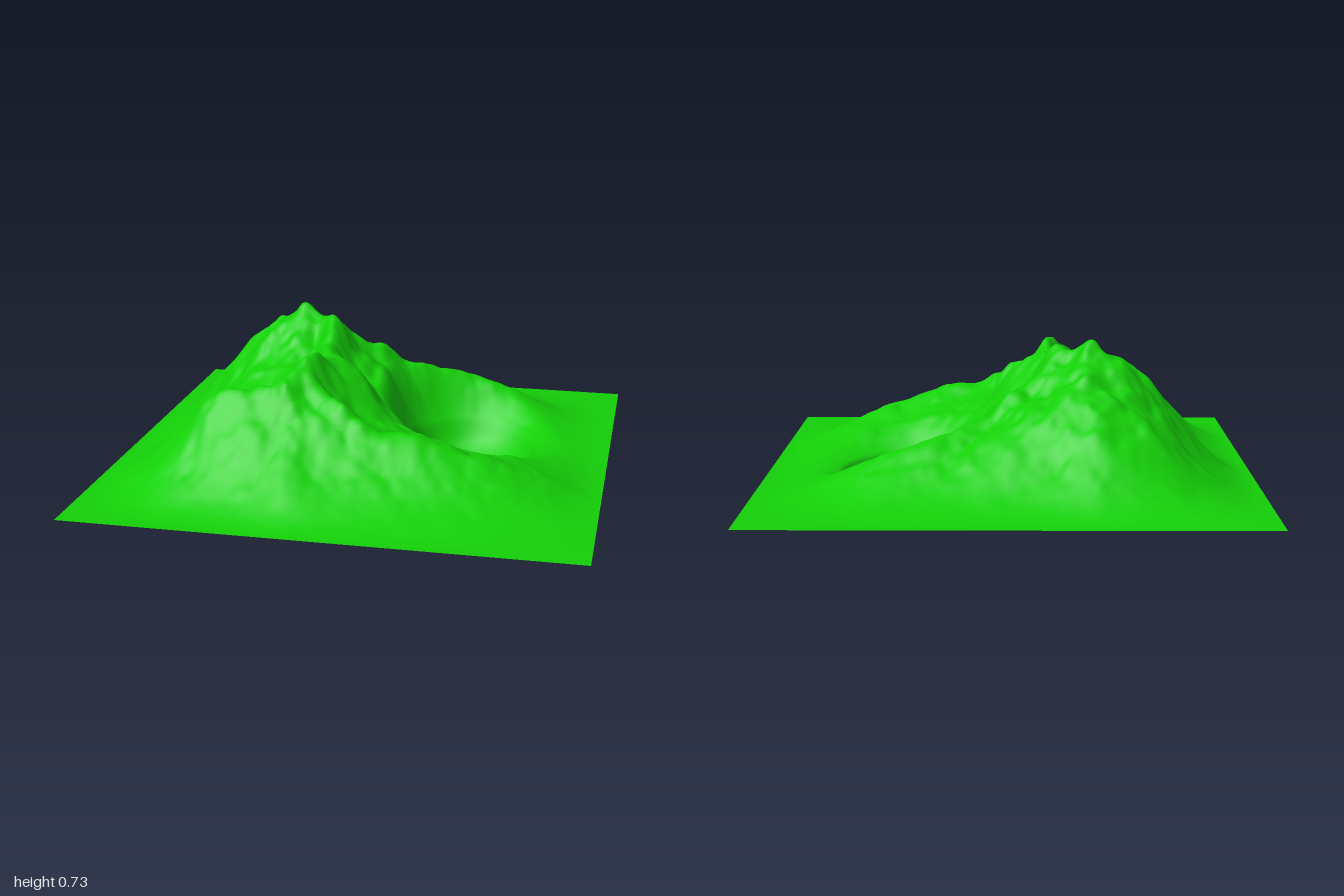
import * as THREE from 'three';

const BASE = 0.16;
const LAKE = { x: 0.43, z: -0.12, r: 0.265 };

// Ridge lines: falloff width and crest points [x, z, height above the base]
const RIDGES = [
  // main crest with a saddle
  { w: 0.3, pts: [[-0.34, -0.23, 0.57], [-0.23, -0.19, 0.52], [-0.17, 0, 0.44], [-0.13, 0.15, 0.48], [-0.17, 0.32, 0.47], [-0.23, 0.48, 0.43]] },
  // left spur
  { w: 0.42, pts: [[-0.34, -0.23, 0.57], [-0.48, -0.19, 0.47], [-0.62, -0.17, 0.46], [-0.9, -0.17, 0.38]] },
  // back spur
  { w: 0.6, pts: [[-0.34, -0.23, 0.57], [-0.3, -0.4, 0.46], [-0.35, -0.6, 0.36], [-0.35, -0.95, 0.32]] },
  // spur behind the basin
  { w: 0.45, pts: [[-0.23, -0.2, 0.51], [-0.08, -0.28, 0.38], [0.08, -0.4, 0.28], [0.3, -0.48, 0.25], [0.52, -0.53, 0.17]] },
  // front left shoulder
  { w: 0.6, pts: [[-0.23, 0.47, 0.41], [-0.5, 0.48, 0.38], [-0.9, 0.5, 0.33]] },
  // front right spur
  { w: 0.4, pts: [[-0.17, 0.4, 0.44], [0.03, 0.49, 0.32], [0.25, 0.52, 0.26], [0.5, 0.5, 0.19], [0.72, 0.4, 0.2], [0.95, 0.35, 0.25]] },
  // front foot
  { w: 0.5, pts: [[-0.23, 0.47, 0.42], [-0.2, 0.62, 0.33], [-0.15, 0.95, 0.3]] },
];

const smooth = THREE.MathUtils.smoothstep;

// Repeatable value noise in -1..1
function hash(i, j) {
  const s = Math.sin(i * 127.1 + j * 311.7) * 43758.5453;
  return (s - Math.floor(s)) * 2 - 1;
}
function noise(x, z) {
  const i = Math.floor(x), j = Math.floor(z);
  const u = smooth(x - i, 0, 1), v = smooth(z - j, 0, 1);
  const { lerp } = THREE.MathUtils;
  return lerp(lerp(hash(i, j), hash(i + 1, j), u), lerp(hash(i, j + 1), hash(i + 1, j + 1), u), v);
}
function fractal(x, z) {
  let sum = 0;
  for (let o = 0, f = 6, a = 0.45; o < 3; o++, f *= 2.1, a *= 0.6) sum += a * noise(x * f + o * 17, z * f - o * 9);
  return sum;
}

// Highest ridge influence at a point
function ridgeHeight(x, z) {
  let best = 0;
  for (const { w, pts } of RIDGES) {
    for (let k = 0; k < pts.length - 1; k++) {
      const [ax, az, ah] = pts[k], [bx, bz, bh] = pts[k + 1];
      const dx = bx - ax, dz = bz - az;
      const t = THREE.MathUtils.clamp(((x - ax) * dx + (z - az) * dz) / (dx * dx + dz * dz), 0, 1);
      const d = Math.hypot(x - ax - t * dx, z - az - t * dz, 0.03) - 0.03;
      best = Math.max(best, (ah + (bh - ah) * t) * Math.exp(-d / w));
    }
  }
  return best;
}

function heightAt(x, z) {
  const warp = 0.025;
  const h = ridgeHeight(x + warp * noise(x * 7 + 40, z * 7), z + warp * noise(x * 7, z * 7 + 60));
  // fade to the flat border
  const edge = smooth(1 - Math.abs(x), 0, 0.55) * smooth(1 - Math.abs(z), 0, 0.55);
  const r = Math.hypot(x - LAKE.x, z - LAKE.z);
  const land = h * (1 + 0.15 * fractal(x, z)) * edge * smooth(r, 0.21, 0.41);
  // steep-walled basin sunk below the base, deepest toward the front left
  const offset = (x - 0.38) ** 2 + (z + 0.04) ** 2;
  const bowl = r < LAKE.r ? 0.16 * (1 - (r / LAKE.r) ** 6) * (1 - 6 * offset) : 0;
  return BASE + land - bowl;
}

export function createModel() {
  const model = new THREE.Group();

  // Mountain ground with the basin
  const geo = new THREE.PlaneGeometry(2, 2, 180, 180).rotateX(-Math.PI / 2);
  const p = geo.attributes.position;
  for (let i = 0; i < p.count; i++) p.setY(i, heightAt(p.getX(i), p.getZ(i)));
  geo.computeVertexNormals();
  const terrain = new THREE.Mesh(geo, new THREE.MeshStandardMaterial({ color: 0x14d008, side: THREE.DoubleSide }));
  terrain.name = 'terrain';
  model.add(terrain);

  // Small boulders on the basin floor: x, z, radius
  const boulders = new THREE.Group();
  boulders.name = 'boulders';
  const brown = new THREE.MeshStandardMaterial({ color: 0xb8501c });
  const ochre = new THREE.MeshStandardMaterial({ color: 0xa08a1c });
  const spots = [[0.52, -0.23, 0.022], [0.285, -0.1, 0.022], [0.4, -0.28, 0.012], [0.465, -0.085, 0.012], [0.365, -0.18, 0.007], [0.365, -0.025, 0.007]];
  spots.forEach(([x, z, r], i) => {
    const boulder = new THREE.Mesh(new THREE.SphereGeometry(r, 14, 10), r < 0.01 ? ochre : brown);
    boulder.name = `boulder${i + 1}`;
    boulder.position.set(x, heightAt(x, z) + r * 0.4, z);
    boulders.add(boulder);
  });
  model.add(boulders);
  return model;
}
